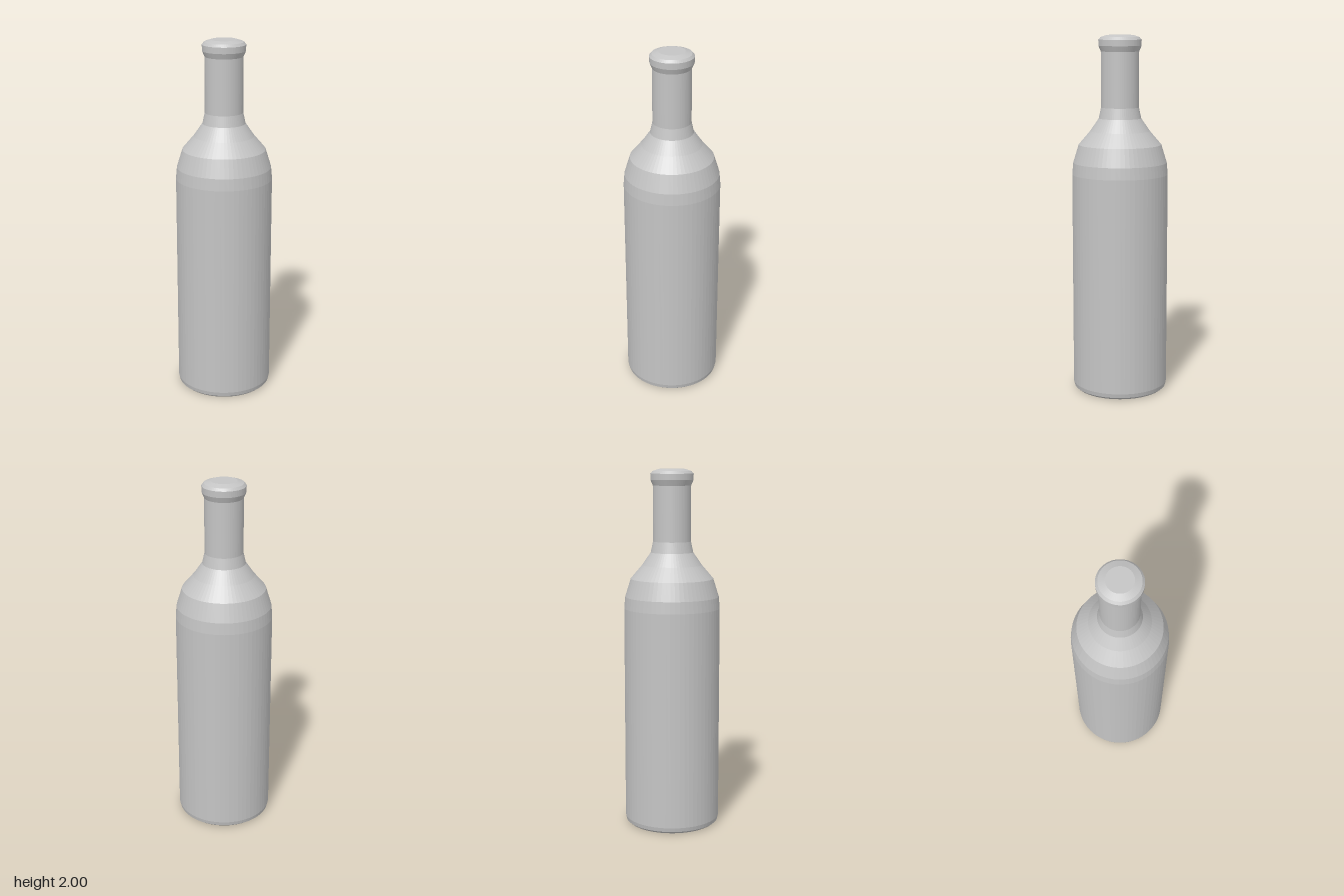
import * as THREE from 'three';

const SEGMENTS = 64;

export function createModel() {
  const model = new THREE.Group();
  model.name = 'bottle';
  const grey = new THREE.MeshStandardMaterial({ color: 0xc4c4c4, flatShading: true });
  grey.name = 'plain grey';

  // Each part is a turned profile of [radius, height], listed from bottom to top
  const turn = (name, profile) => {
    const points = profile.map(([r, y]) => new THREE.Vector2(r, y));
    const mesh = new THREE.Mesh(new THREE.LatheGeometry(points, SEGMENTS), grey);
    mesh.name = name;
    model.add(mesh);
  };

  // Closed base with a small bevel, and the straight wall
  turn('body', [[0, 0], [0.248, 0], [0.262, 0.012], [0.267, 0.035], [0.267, 1.235]]);

  // Rounded shoulder curving in to the neck
  turn('shoulder', [[0.267, 1.235], [0.261, 1.3], [0.23, 1.4], [0.166, 1.475], [0.118, 1.545], [0.105, 1.605]]);

  // Straight neck
  turn('neck', [[0.105, 1.605], [0.105, 1.91]]);

  // Flared lip with a bevelled, closed top
  turn('lip', [[0.105, 1.91], [0.118, 1.94], [0.119, 1.974], [0.107, 1.988], [0.071, 2], [0, 2]]);

  return model;
}
